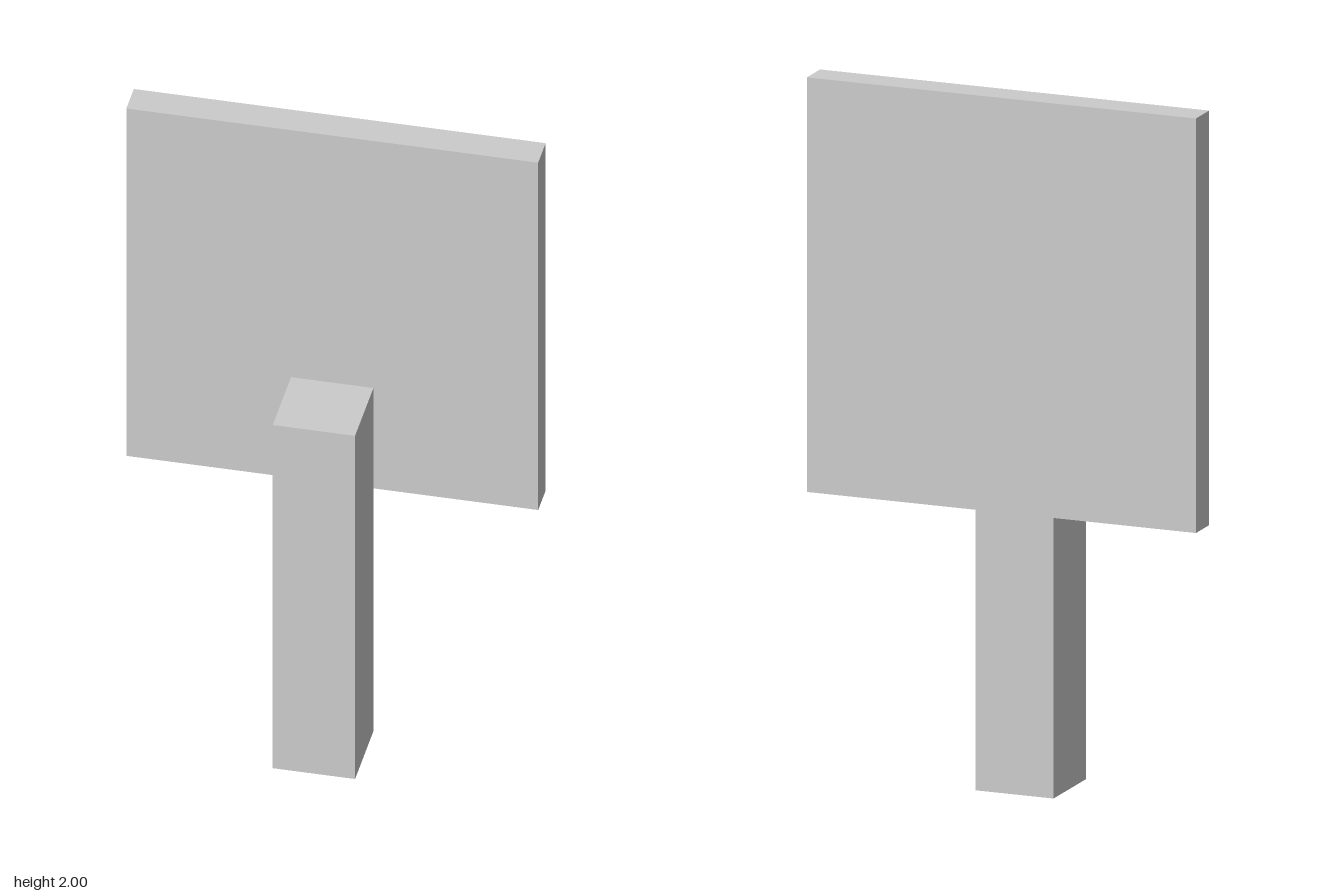
import * as THREE from 'three';

const material = new THREE.MeshStandardMaterial({
  color: 0xcccccc, flatShading: true, side: THREE.DoubleSide,
});

// Box given by its lower and upper corners
function box(name, [x0, y0, z0], [x1, y1, z1]) {
  const geometry = new THREE.BoxGeometry(x1 - x0, y1 - y0, z1 - z0);
  geometry.translate((x0 + x1) / 2, (y0 + y1) / 2, (z0 + z1) / 2);
  const mesh = new THREE.Mesh(geometry, material);
  mesh.name = name;
  return mesh;
}

// Drop the underside (fourth face of a box) so it is hollow from below
function openBottom(mesh) {
  const index = Array.from(mesh.geometry.index.array);
  index.splice(18, 6);
  mesh.geometry.setIndex(index);
  mesh.geometry.clearGroups();
  return mesh;
}

export function createModel() {
  const group = new THREE.Group();
  group.name = 'signpost';

  // Square panel mounted on the back of the post
  group.add(box('signBoard', [-0.58, 0.823, -0.162], [0.58, 2, -0.068]));

  // Hollow square post, open at the ground
  group.add(openBottom(box('post', [-0.116, 0, -0.068], [0.116, 1.163, 0.162])));

  return group;
}
